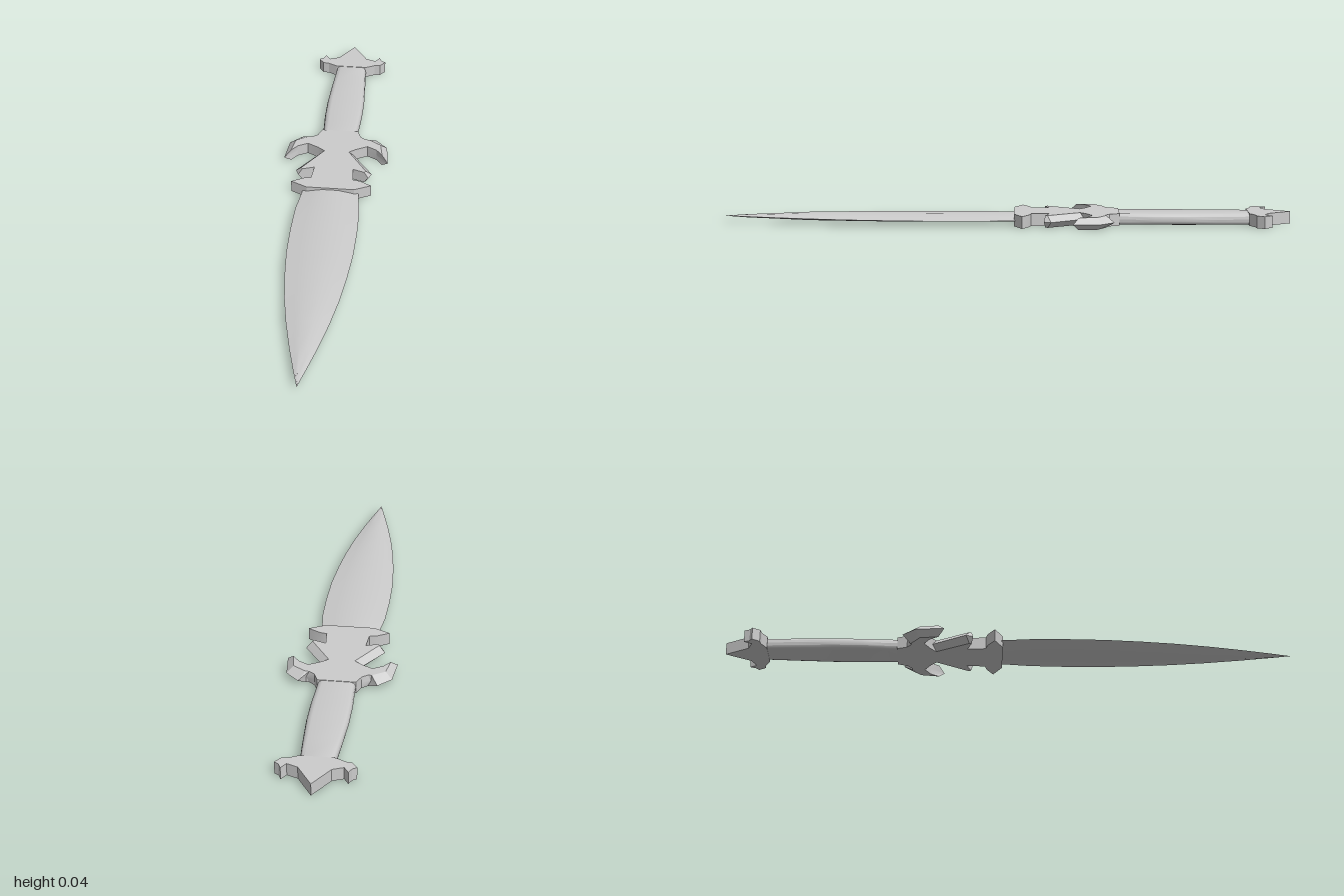
import * as THREE from 'three';
import { toCreasedNormals } from 'three/addons/utils/BufferGeometryUtils.js';

const MID = 0.0215; // height of the dagger's mid plane
const material = new THREE.MeshStandardMaterial({ color: 0xcccccc });

// Skins a stack of counter-clockwise rings of [x, y, z] and caps both ends.
function skin(rings, crease) {
  const n = rings[0].length;
  const index = [];
  for (let i = 0; i < rings.length - 1; i++) {
    for (let j = 0; j < n; j++) {
      const k = (j + 1) % n;
      const a = i * n + j, b = i * n + k, c = b + n, d = a + n;
      index.push(a, b, c, a, c, d);
    }
  }
  const cap = (ring) =>
    THREE.ShapeUtils.triangulateShape(ring.map(([x, y]) => new THREE.Vector2(x, y)), []);
  const last = (rings.length - 1) * n;
  for (const [a, b, c] of cap(rings[0])) index.push(c, b, a);
  for (const [a, b, c] of cap(rings[rings.length - 1])) index.push(last + a, last + b, last + c);
  const geometry = new THREE.BufferGeometry();
  geometry.setAttribute('position', new THREE.Float32BufferAttribute(rings.flat(2), 3));
  geometry.setIndex(index);
  return toCreasedNormals(geometry, crease);
}

// Lofts a unit section along z through stations of [z, half width, half height].
function loft(name, section, stations, crease) {
  const rings = stations.map(([z, w, h]) => section.map(([x, y]) => [x * w, y * h, z]));
  const mesh = new THREE.Mesh(skin(rings, crease), material);
  mesh.name = name;
  mesh.position.y = MID;
  return mesh;
}

// Mirrored flat plate from a right half outline of [x, z, cap x, cap z], listed
// front to back; the optional cap position bevels the edge towards the faces.
function plate(name, half) {
  const left = half.filter((p) => p[0] > 0).reverse()
    .map(([x, z, cx = x, cz = z]) => [-x, z, -cx, cz]);
  const outline = [...half, ...left];
  const face = (h) => outline.map(([x, z, cx = x, cz = z]) => [cx, -cz, h]);
  const middle = outline.map(([x, z]) => [x, -z, 0]);
  const geometry = skin([face(-MID), middle, face(MID)], 0.35);
  geometry.rotateX(-Math.PI / 2);
  const mesh = new THREE.Mesh(geometry, material);
  mesh.name = name;
  mesh.position.y = MID;
  return mesh;
}

export function createModel() {
  const dagger = new THREE.Group();
  dagger.name = 'dagger';

  // Leaf-shaped blade with a broad central ridge
  const bladeSection = [
    [1, 0], [0.62, 0.55], [0.28, 1], [-0.28, 1], [-0.62, 0.55],
    [-1, 0], [-0.62, -0.55], [-0.28, -1], [0.28, -1], [0.62, -0.55],
  ];
  dagger.add(loft('blade', bladeSection, [
    [-0.06, 0.09, 0.014], [-0.03, 0.1, 0.014], [0.08, 0.113, 0.014], [0.2, 0.116, 0.014],
    [0.33, 0.114, 0.014], [0.46, 0.104, 0.014], [0.58, 0.09, 0.013], [0.7, 0.07, 0.012],
    [0.82, 0.045, 0.008], [0.92, 0.021, 0.005], [1, 0.0005, 0.0005],
  ], 0.6));

  // Grip with rounded sides
  const gripSection = [];
  for (const side of [1, -1]) {
    for (let i = 0; i <= 6; i++) {
      const a = -Math.PI / 2 + (i * Math.PI) / 6;
      gripSection.push([side * (0.72 + 0.28 * Math.cos(a)), side * Math.sin(a)]);
    }
  }
  dagger.add(loft('grip', gripSection, [
    [-0.88, 0.055, 0.02], [-0.85, 0.057, 0.02], [-0.74, 0.064, 0.02], [-0.62, 0.07, 0.02],
    [-0.52, 0.07, 0.02], [-0.43, 0.066, 0.02], [-0.36, 0.064, 0.02],
  ], 0.8));

  // Guard with hooked horns, swept spikes and a small front crosspiece
  dagger.add(plate('guard', [
    [0.085, -0.025], [0.143, -0.055], [0.1, -0.08], [0.075, -0.085], [0.07, -0.15],
    [0.127, -0.13, 0.112, -0.135], [0.138, -0.155, 0.117, -0.143], [0.06, -0.272, 0.045, -0.258],
    [0.07, -0.278], [0.11, -0.3], [0.145, -0.28], [0.19, -0.23, 0.167, -0.25],
    [0.18, -0.33, 0.157, -0.315], [0.135, -0.375, 0.112, -0.345],
    [0.11, -0.345, 0.1, -0.345], [0.08, -0.36], [0.066, -0.395],
  ]));

  // Arrow-shaped pommel with barbs
  dagger.add(plate('pommel', [
    [0.058, -0.85], [0.09, -0.867], [0.112, -0.87], [0.13, -0.895], [0.115, -0.905],
    [0.106, -0.925], [0.09, -0.9], [0.053, -0.915], [0, -1],
  ]));

  return dagger;
}
